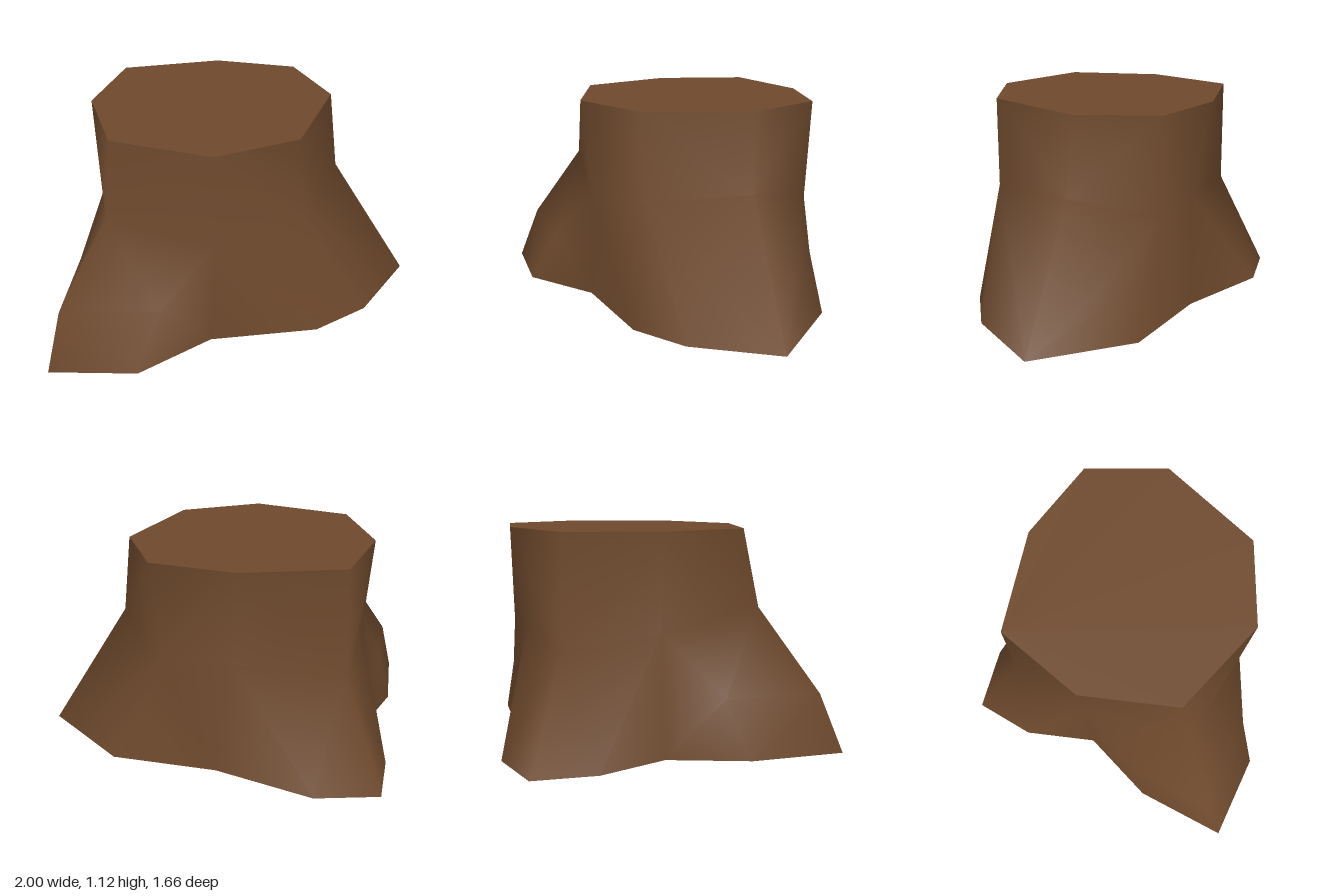
import * as THREE from 'three';

const HEIGHT = 1.12;

// cut edge of the trunk, [x, z], clockwise seen from above
const TOP = [
  [-0.62, -0.56], [-0.08, -0.655], [0.36, -0.535], [0.525, -0.12],
  [0.30, 0.43], [-0.13, 0.605], [-0.645, 0.405], [-0.775, -0.09],
];

// waist of the trunk where the roots begin, [x, y, z]
const WAIST = [
  [-0.63, 0.56, -0.565], [-0.05, 0.60, -0.565], [0.31, 0.58, -0.53], [0.57, 0.70, -0.10],
  [0.33, 0.65, 0.41], [-0.13, 0.58, 0.56], [-0.68, 0.72, 0.48], [-0.73, 0.62, -0.09],
];

// ground outline, [x, z, waist corner it grows from, optional knee above it]
const BASE = [
  [-0.87, -0.46, 0], [-0.82, -0.79, 0], [-0.48, -0.83, 0],
  [0.03, -0.605, 1], [0.59, -0.51, 2, [0.43, 0.30, -0.51]], [1.00, -0.08, 3],
  [0.71, 0.33, 4], [0.42, 0.51, 4], [-0.16, 0.57, 5],
  [-0.54, 0.83, 6, [-0.41, 0.30, 0.71]], [-1.00, 0.80, 6, [-0.93, 0.30, 0.70]],
  [-0.95, 0.31, 6, [-0.87, 0.30, 0.20]], [-0.77, -0.08, 7],
];

function makeGeometry(points, index) {
  const g = new THREE.BufferGeometry();
  g.setAttribute('position', new THREE.Float32BufferAttribute(points.flat(), 3));
  g.setIndex(index);
  g.computeVertexNormals();
  return g;
}

export function createModel() {
  const group = new THREE.Group();
  group.name = 'treeStump';
  const wood = new THREE.MeshStandardMaterial({ color: 0x6f4a2d, side: THREE.DoubleSide });
  wood.name = 'brown wood';

  // bark: trunk wall and flaring roots share vertices for smooth shading
  const top = TOP.map(([x, z]) => [x, HEIGHT, z]);
  const points = [...top, ...WAIST, ...BASE.map(([x, z]) => [x, 0, z])];
  const n = TOP.length, m = BASE.length;
  const waistAt = n, baseAt = 2 * n;

  // a root without a knee runs straight from the waist to the ground
  const knees = BASE.map((b, i) => (b[3] ? points.push(b[3]) - 1 : baseAt + i));

  const index = [];
  const tri = (a, b, c) => {
    if (a !== b && b !== c && c !== a) index.push(a, b, c);
  };
  // distance of an edge's middle from the trunk's axis
  const reach = (a, b) => {
    const [p, q] = [points[a], points[b]];
    return Math.hypot((p[0] + q[0]) / 2 + 0.1, (p[2] + q[2]) / 2);
  };
  // four corners, split along the diagonal that bulges outward
  const quad = (a, b, upA, upB) => {
    if (reach(a, upB) > reach(b, upA)) {
      tri(a, upA, upB);
      tri(a, upB, b);
    } else {
      tri(a, upA, b);
      tri(b, upA, upB);
    }
  };
  for (let i = 0; i < n; i++) {
    const j = (i + 1) % n;
    quad(waistAt + i, waistAt + j, i, j);
  }
  for (let i = 0; i < m; i++) {
    const j = (i + 1) % m;
    quad(knees[i], knees[j], waistAt + BASE[i][2], waistAt + BASE[j][2]);
    quad(baseAt + i, baseAt + j, knees[i], knees[j]);
  }
  const bark = new THREE.Mesh(makeGeometry(points, index), wood);
  bark.name = 'trunkAndRoots';

  // flat sawn face
  const fan = [];
  for (let i = 1; i < n - 1; i++) fan.push(0, i + 1, i);
  const cut = new THREE.Mesh(makeGeometry(top, fan), wood);
  cut.name = 'cutTop';

  group.add(bark, cut);
  return group;
}
